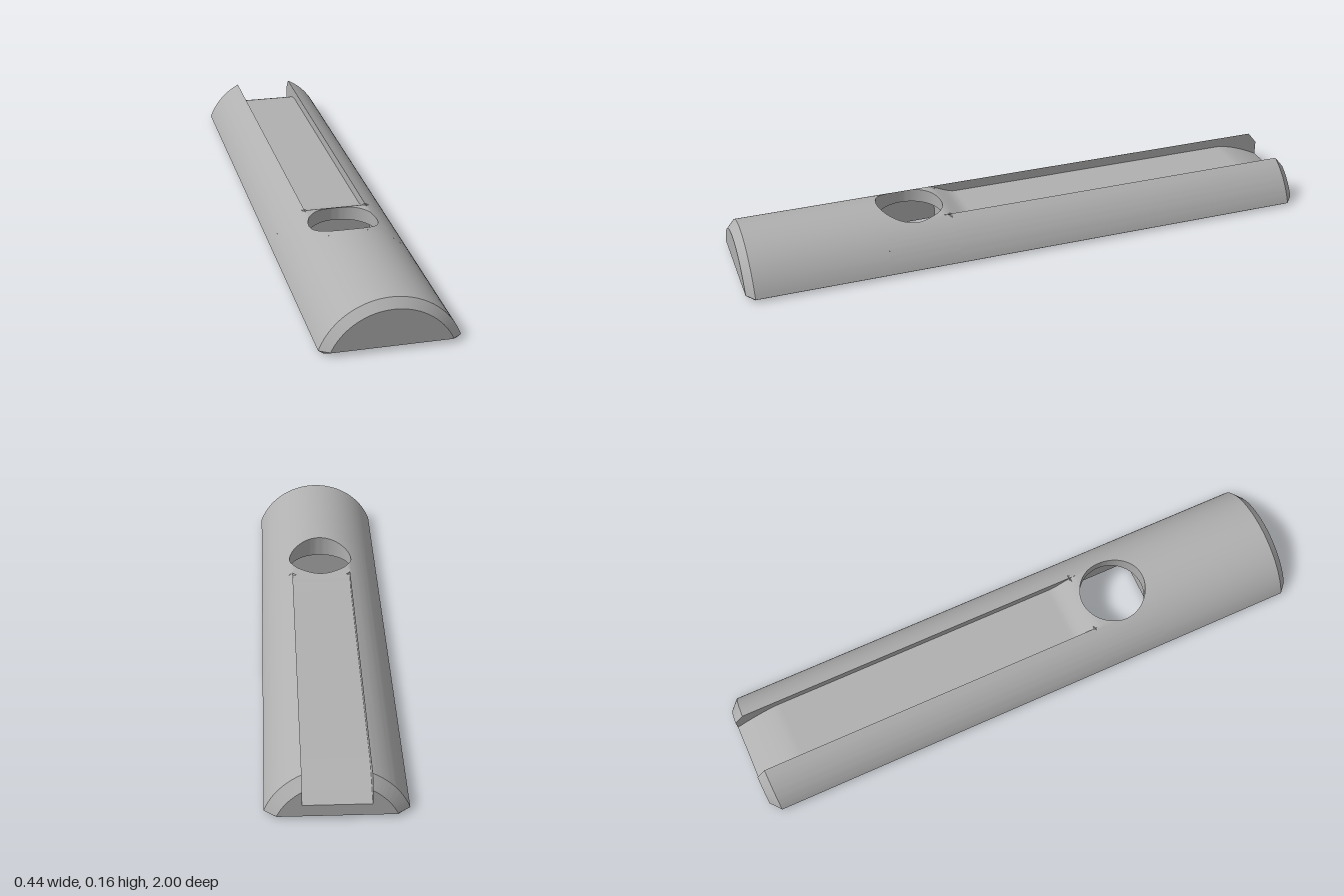
import * as THREE from 'three';
import { mergeGeometries, toCreasedNormals } from 'three/addons/utils/BufferGeometryUtils.js';

// Outer arc of the bar, channel and hole sizes
const CY = -0.0717, R = 0.2347;
const CH = 0.105;                       // half width of the channel
const FLOOR = 0.105, END_FLOOR = 0.05;  // channel floor heights
const Z_FRONT = 0.973, Z_BACK = -0.968; // where the end chamfers begin
const HOLE_Z = 0.39, HOLE_R = 0.115, PATCH = 0.12;
const arcY = (x, r = R) => Math.sqrt(r * r - x * x) + CY;
const LEDGE = arcY(CH);

// Height of the channel floor along the bar
function floorY(z) {
  if (z < -0.84) return FLOOR - (FLOOR - END_FLOOR) * Math.pow((-0.84 - z) / 0.16, 1.5);
  return FLOOR + (LEDGE - FLOOR) * THREE.MathUtils.smoothstep(z, 0.19, 0.3);
}

// Surface through rows of points
function loft(rows, closed = false) {
  const pos = [];
  for (let i = 0; i + 1 < rows.length; i++) {
    const a = rows[i], b = rows[i + 1], n = a.length;
    for (let j = 0; j < (closed ? n : n - 1); j++) {
      const k = (j + 1) % n;
      pos.push(...a[j], ...b[j], ...a[k], ...a[k], ...b[j], ...b[k]);
    }
  }
  const g = new THREE.BufferGeometry();
  g.setAttribute('position', new THREE.Float32BufferAttribute(pos, 3));
  return g;
}

// Flat face with holes, in the xy plane
function face(points, holes = []) {
  const toV = (list) => list.map(([x, y]) => new THREE.Vector2(x, y));
  const shape = new THREE.Shape(toV(points));
  holes.forEach((h) => shape.holes.push(new THREE.Path(toV(h))));
  const g = new THREE.ShapeGeometry(shape).toNonIndexed();
  g.deleteAttribute('uv');
  g.deleteAttribute('normal');
  return g;
}
// Downward face at height y; its points are (x, z)
const downFace = (points, y, holes) => face(points, holes).rotateX(Math.PI / 2).translate(0, y, 0);

const rect = (hx, z0, z1) => [[hx, z0], [hx, z1], [-hx, z1], [-hx, z0]];
const circle = (r, z, n = 48) => Array.from({ length: n }, (_, i) => {
  const a = (i / n) * Math.PI * 2;
  return [r * Math.cos(a), z + r * Math.sin(a)];
});
const ring = (points, y) => points.map(([x, z]) => [x, y, z]);

// Half of a cross-section: arc from xs outwards, then the lower edge
function half(xs, r, cornerY, lowX, lowY) {
  const edge = Math.sqrt(r * r - (cornerY - CY) ** 2);
  const a0 = Math.asin(xs / r), a1 = Math.asin(edge / r), pts = [];
  for (let i = 0; i <= 20; i++) {
    const a = a0 + ((a1 - a0) * i) / 20;
    pts.push([r * Math.sin(a), r * Math.cos(a) + CY]);
  }
  pts.push([lowX, lowY]);
  return pts;
}
const base = (xs) => half(xs, R, 0.01, 0.205, 0);
const frontEnd = half(0, R - 0.027, 0.0145, 0.188, 0.013);
const backEnd = half(CH, R - 0.0347, 0.012, 0.181, 0.01);

// Left and right side surfaces through [half section, z] pairs
function sides(stations, withBottom = false) {
  return [1, -1].map((s) => loft(stations.map(([pts, z]) => {
    const full = withBottom ? [...pts, [0, pts[pts.length - 1][1]]] : pts;
    const row = full.map(([x, y]) => [s * x, y, z]);
    return s > 0 ? row : row.reverse();
  })));
}

const mirrorX = (pts) => pts.map(([x, y]) => [-x, y]).reverse();

export function createModel() {
  const group = new THREE.Group();
  const grey = new THREE.MeshStandardMaterial({ color: 0xb0b0b0, side: THREE.DoubleSide });
  grey.name = 'grey';
  const add = (name, parts) => {
    const mesh = new THREE.Mesh(toCreasedNormals(mergeGeometries(parts), 0.45), grey);
    mesh.name = name;
    group.add(mesh);
  };

  // Rounded body with its chamfered ends
  const z0 = HOLE_Z - PATCH, z1 = HOLE_Z + PATCH;
  add('roundedBody', [
    ...sides([[base(CH), Z_BACK], [base(CH), z0]]),
    ...sides([[base(PATCH), z0], [base(PATCH), z1]]),
    ...sides([[base(0), z1], [base(0), Z_FRONT]]),
    ...sides([[base(0), Z_FRONT], [frontEnd, 1]], true),
    ...sides([[backEnd, -1], [base(CH), Z_BACK]], true),
  ]);
  add('frontFace', [face([...frontEnd, ...mirrorX(frontEnd)]).translate(0, 0, 1)]);
  add('backFace', [face([...backEnd, ...mirrorX(backEnd), [-CH, END_FLOOR], [CH, END_FLOOR]])
    .rotateY(Math.PI).translate(0, 0, -1)]);

  // Channel floor and walls
  const zs = [-1, Z_BACK];
  for (let i = 1; i <= 16; i++) zs.push(Z_BACK + (0.16 * i) / 16);
  for (let i = 0; i <= 16; i++) zs.push(0.18 + ((z0 - 0.18) * i) / 16);
  add('channelFloor', [loft(zs.map((z) => [[-CH, floorY(z), z], [CH, floorY(z), z]]))]);
  add('channelWalls', [1, -1].map((s) => loft([...zs, 0.3].map((z) => {
    const top = z === -1 ? backEnd[0][1] : LEDGE;
    const row = [[s * CH, floorY(z), z], [s * CH, top, z]];
    return s > 0 ? row : row.reverse();
  }))));

  // Curved patch around the thumb hole, running on into the hole wall
  const WELL = 0.09;
  const topY = (x, z) => (z < HOLE_Z && Math.abs(x) < CH ? Math.min(arcY(x), floorY(z)) : arcY(x));
  const rows = [];
  for (let k = 0; k <= 6; k++) {
    rows.push(circle(1, 0, 96).map(([c, s]) => {
      const outer = PATCH / Math.max(Math.abs(c), Math.abs(s));
      const r = outer + ((HOLE_R - outer) * k) / 6;
      const x = r * c, z = HOLE_Z + r * s;
      return [x, topY(x, z), z];
    }));
  }
  rows.push(rows[6].map(([x, , z]) => [x, WELL, z]));
  add('holeRimAndWall', [loft(rows, true)]);

  // Underside with its pockets
  const well = rect(0.125, 0.265, 0.515);
  const tray = rect(0.163, -0.86, -0.25);
  const sockets = [-0.12, 0.07, 0.83];
  add('underside', [downFace(rect(0.205, Z_BACK, Z_FRONT), 0,
    [well, tray, ...sockets.map((z) => circle(0.082, z))])]);
  add('squareWell', [
    loft([ring(well, WELL), ring(well, 0)], true),
    downFace(well, WELL, [circle(HOLE_R, HOLE_Z, 96)]),
  ]);
  add('undersideTray', [loft([ring(tray, 0.045), ring(tray, 0)], true), downFace(tray, 0.045)]);
  sockets.forEach((z) => {
    const bore = circle(0.06, z);
    add('countersunkSocket', [
      loft([ring(bore, 0.08), ring(bore, 0.018), ring(circle(0.082, z), 0)], true),
      downFace(bore, 0.08),
    ]);
  });
  return group;
}
